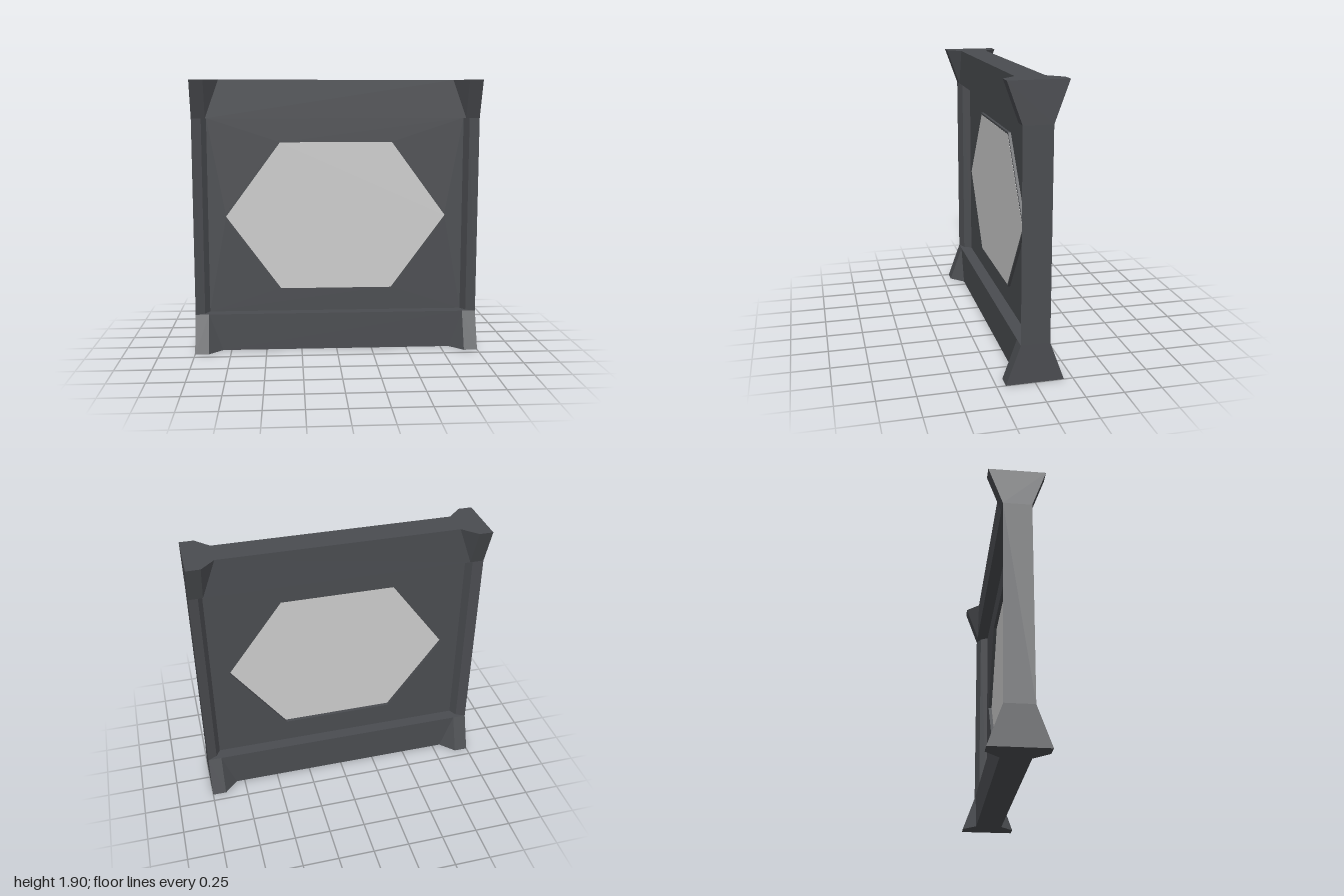
import * as THREE from 'three';
import { ConvexGeometry } from 'three/addons/geometries/ConvexGeometry.js';

const HEIGHT = 1.905, MID = HEIGHT / 2;
const BEAM = MID - 0.262;      // inner edge of the beams, measured from mid height
const DEPTH = 0.095;           // half depth of the frame
const FLARE = 0.19;            // half depth of the flared corners
const PANEL = 0.01;            // half depth of the recessed panel

const shapeOf = (pts) => new THREE.Shape(pts.map(([x, y]) => new THREE.Vector2(x, y)));
const hexagon = (w, top, h) => [[w, 0], [top, h], [-top, h], [-w, 0], [-top, -h], [top, -h]];

// Straight extrusion between two z positions
const slab = (shape, back, front) =>
  new THREE.ExtrudeGeometry(shape, { depth: front - back, bevelEnabled: false }).translate(0, 0, back);

export function createModel() {
  const group = new THREE.Group();
  const dark = new THREE.MeshStandardMaterial({ color: 0x4a4c50, flatShading: true });
  const grey = new THREE.MeshStandardMaterial({ color: 0xcccccc, flatShading: true });
  const add = (name, geometry, material = dark) => {
    const mesh = new THREE.Mesh(geometry, material);
    mesh.name = name;
    mesh.position.y = MID;
    group.add(mesh);
    return mesh;
  };

  // Top and bottom beams, tapered to fit between the corners
  const beam = slab(shapeOf([[-0.905, BEAM], [0.905, BEAM], [0.81, MID], [-0.81, MID]]), -DEPTH, DEPTH);
  add('topBeam', beam);
  add('bottomBeam', beam).rotation.z = Math.PI;

  // Side posts, falling in two slopes towards the panel
  const post = slab(shapeOf([
    [1, -DEPTH], [1, DEPTH], [0.936, 0.065], [0.905, PANEL], [0.905, -PANEL], [0.936, -0.065],
  ]), -BEAM, BEAM).rotateX(Math.PI / 2);
  add('leftPost', post);
  add('rightPost', post).rotation.y = Math.PI;

  // Flared corner brackets
  for (const sx of [1, -1]) {
    for (const sy of [1, -1]) {
      const points = [];
      for (const sz of [1, -1]) {
        for (const [x, y, z] of [
          [1, MID, FLARE], [0.905, MID, FLARE], [0.81, MID, DEPTH],
          [1, BEAM, DEPTH], [0.905, BEAM, DEPTH],
        ]) points.push(new THREE.Vector3(sx * x, sy * y, sz * z));
      }
      add((sy > 0 ? 'top' : 'bottom') + (sx > 0 ? 'Left' : 'Right') + 'Corner', new ConvexGeometry(points));
    }
  }

  // Recessed panel with a hexagonal opening
  const opening = hexagon(0.778, 0.394, 0.522);
  const panel = shapeOf([[-0.905, -BEAM], [0.905, -BEAM], [0.905, BEAM], [-0.905, BEAM]]);
  panel.holes.push(shapeOf(opening));
  add('panel', slab(panel, -PANEL, PANEL));

  // Thin rim holding the pane, proud of the panel's front
  const rim = shapeOf(hexagon(0.796, 0.4, 0.535));
  rim.holes.push(shapeOf(opening));
  add('windowRim', slab(rim, PANEL, 0.028));

  // Hexagonal window pane, set forward in the opening
  add('windowPane', slab(shapeOf(opening), 0.014, 0.029), grey);

  return group;
}
